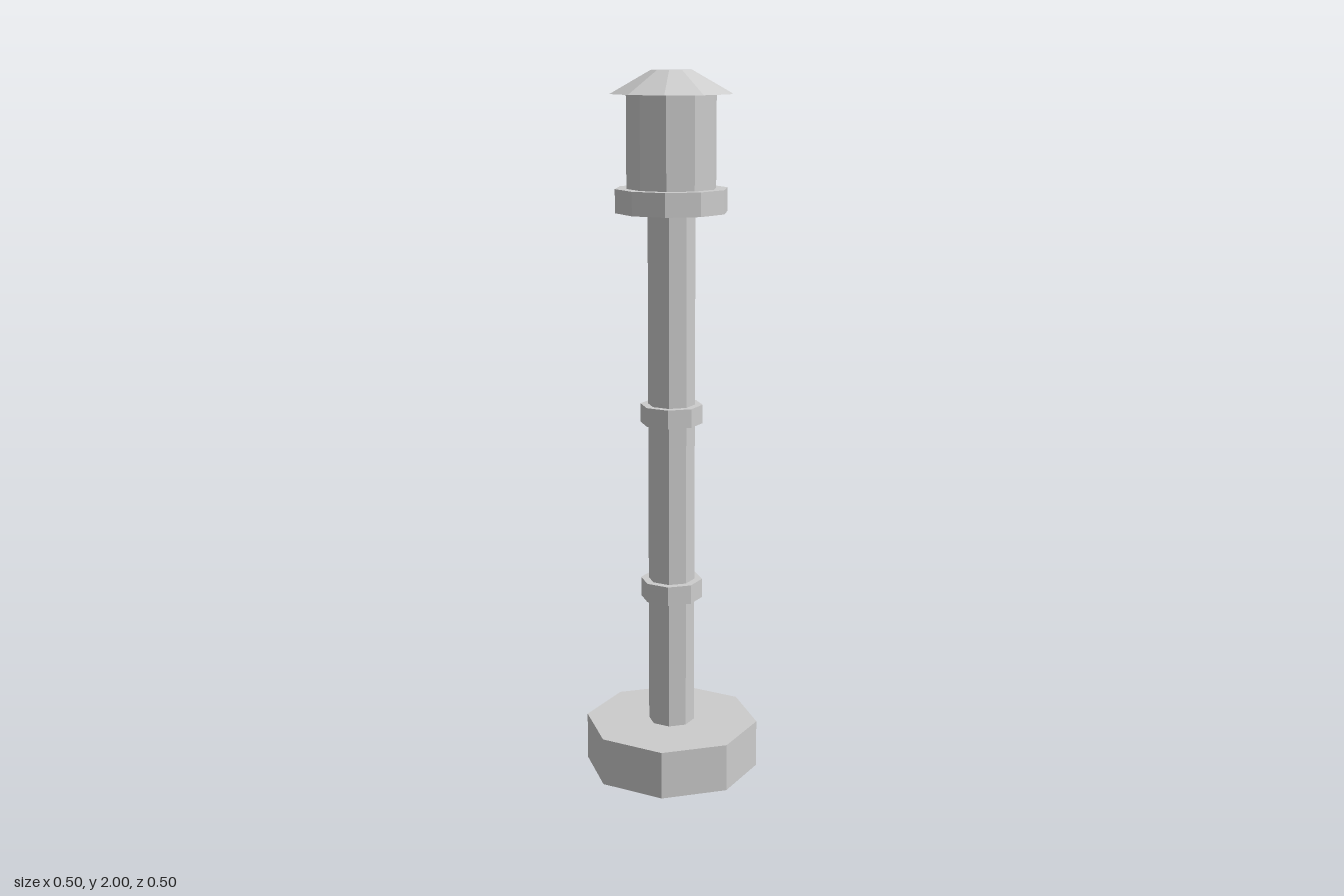
import * as THREE from 'three';

export function createModel() {
  const model = new THREE.Group();
  model.name = 'lightTower';
  const grey = new THREE.MeshStandardMaterial({ color: 0xcccccc, flatShading: true });
  grey.name = 'light grey';

  // Upright faceted prism or frustum spanning y0..y1
  function prism(name, sides, bottomRadius, topRadius, y0, y1) {
    const geometry = new THREE.CylinderGeometry(topRadius, bottomRadius, y1 - y0, sides);
    geometry.translate(0, (y0 + y1) / 2, 0);
    const mesh = new THREE.Mesh(geometry, grey);
    mesh.name = name;
    model.add(mesh);
  }

  // Eight-sided foot, column and collars
  prism('base', 8, 0.25, 0.25, 0, 0.138);
  prism('column', 8, 0.066, 0.066, 0.138, 1.62);
  prism('lowerCollar', 8, 0.088, 0.088, 0.515, 0.57);
  prism('upperCollar', 8, 0.088, 0.088, 1.03, 1.083);

  // Ten-sided head
  prism('gallery', 10, 0.157, 0.157, 1.62, 1.685);
  prism('lantern', 10, 0.125, 0.125, 1.685, 1.937);
  prism('roof', 10, 0.17, 0.057, 1.937, 2);

  return model;
}
